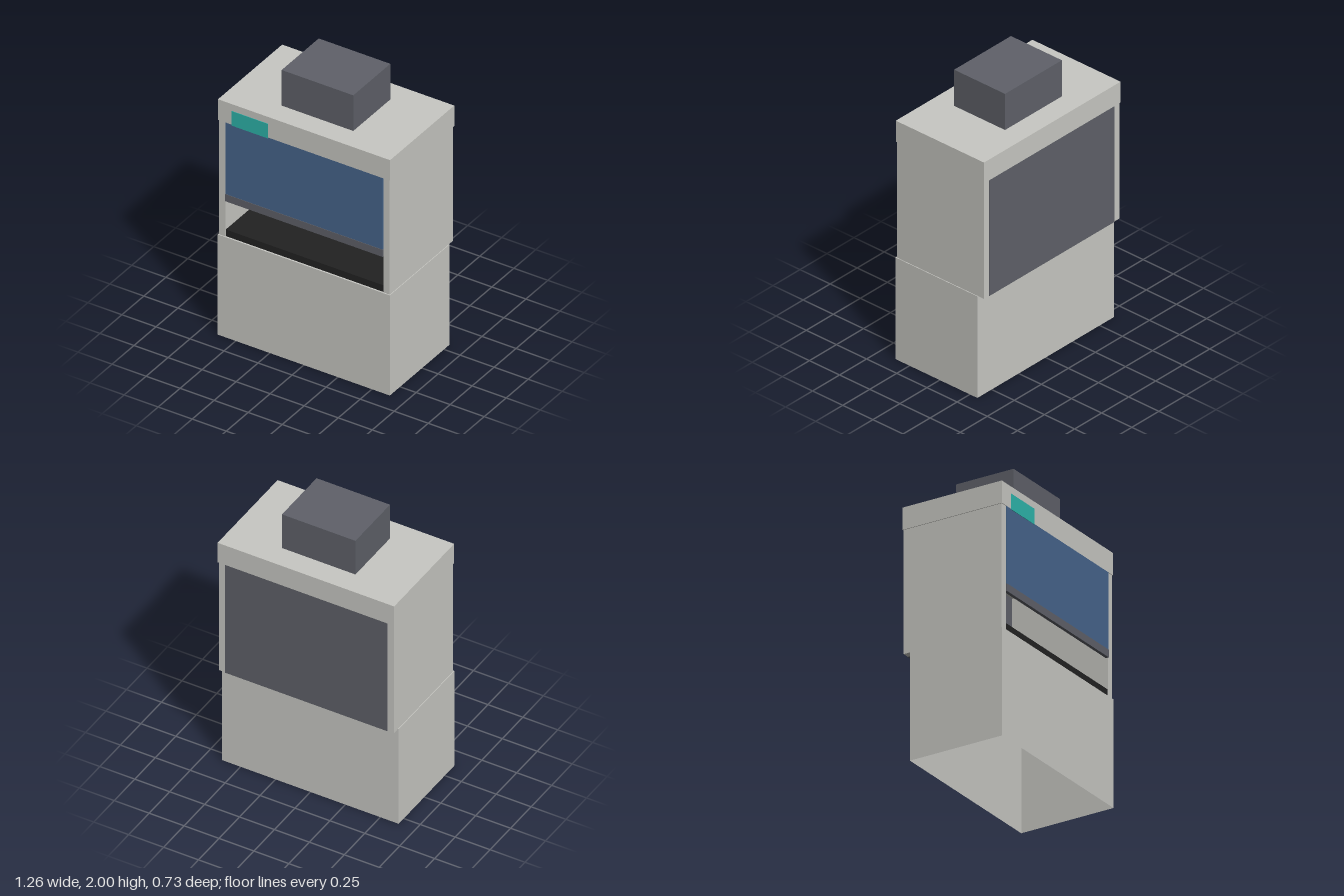
import * as THREE from 'three';

const paint = (name, color, side = THREE.FrontSide) => {
  const m = new THREE.MeshStandardMaterial({ color, side });
  m.name = name;
  return m;
};

export function createModel() {
  const shell = paint('light grey shell', 0xc8c8c3, THREE.DoubleSide);
  const steel = paint('dark grey steel', 0x5f6169);
  const glass = paint('blue glass', 0x46658c);
  const black = paint('black worktop', 0x222222);
  const teal = paint('teal panel', 0x2eb5ab);
  const amber = paint('amber container', 0xc89238);

  const model = new THREE.Group();
  model.name = 'fumeHood';

  // Box given by its limits on each axis
  const box = (name, material, [x0, x1], [y0, y1], [z0, z1]) => {
    const geometry = new THREE.BoxGeometry(x1 - x0, y1 - y0, z1 - z0);
    const mesh = new THREE.Mesh(geometry, material);
    mesh.position.set((x0 + x1) / 2, (y0 + y1) / 2, (z0 + z1) / 2);
    mesh.name = name;
    model.add(mesh);
    return mesh;
  };

  // Base cabinet, open underneath: drop the bottom face of the box
  const base = box('baseCabinet', shell, [-0.632, 0.632], [0, 0.74], [-0.312, 0.367]);
  const index = Array.from(base.geometry.index.array);
  index.splice(18, 6);
  base.geometry.setIndex(index);
  base.geometry.clearGroups();

  // Working chamber
  for (const [name, s] of [['leftWall', 1], ['rightWall', -1]]) {
    const xs = [s * 0.58, s * 0.627].sort((a, b) => a - b);
    box(name, shell, xs, [0.74, 1.585], [-0.361, 0.36]);
  }
  box('backPanel', steel, [-0.579, 0.579], [0.74, 1.585], [-0.365, -0.345]);
  box('worktop', black, [-0.579, 0.579], [0.741, 0.79], [-0.345, 0.357]);
  box('header', shell, [-0.632, 0.632], [1.585, 1.737], [-0.367, 0.364]);

  // Sliding sash with its handle bar
  box('sashGlass', glass, [-0.577, 0.577], [1.055, 1.585], [0.35, 0.364]);
  box('sashBar', steel, [-0.579, 0.579], [1.005, 1.057], [0.345, 0.367]);

  // Control panel on the header, container on the worktop
  box('controlPanel', teal, [-0.53, -0.263], [1.58, 1.687], [0.361, 0.367]);
  box('container', amber, [-0.37, -0.264], [0.79, 0.948], [-0.16, -0.054]);

  // Exhaust duct
  box('exhaustDuct', steel, [-0.263, 0.263], [1.737, 2], [-0.211, 0.211]);

  return model;
}
